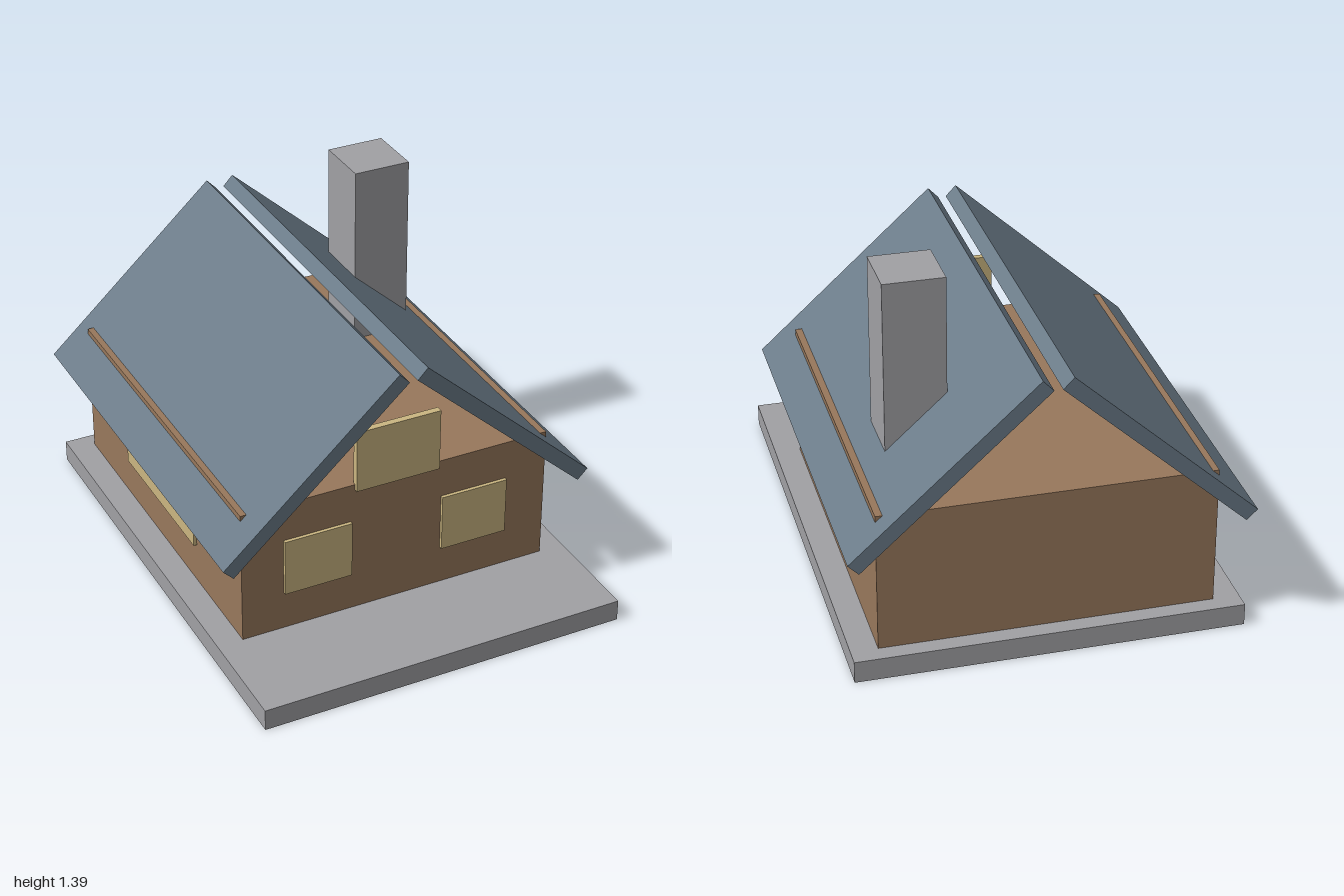
import * as THREE from 'three';

const mat = (name, color) => {
  const m = new THREE.MeshStandardMaterial({ color });
  m.name = name;
  return m;
};

export function createModel() {
  const house = new THREE.Group();
  house.name = 'house';

  const stone = mat('stone grey', 0xa0a0a4);
  const timber = mat('timber brown', 0x98785c);
  const glass = mat('window yellow', 0xcbb681);
  const slate = mat('slate blue', 0x6b7b88);

  // Box given by its extents along each axis
  const box = (name, material, [x0, x1], [y0, y1], [z0, z1]) => {
    const mesh = new THREE.Mesh(new THREE.BoxGeometry(x1 - x0, y1 - y0, z1 - z0), material);
    mesh.position.set((x0 + x1) / 2, (y0 + y1) / 2, (z0 + z1) / 2);
    mesh.name = name;
    house.add(mesh);
  };

  // Base slab, walls and chimney
  box('foundation', stone, [-0.746, 0.744], [0, 0.087], [-0.98, 1]);
  box('walls', timber, [-0.643, 0.641], [0.087, 0.646], [-0.913, 0.583]);
  box('chimney', stone, [0.298, 0.533], [0.6, 1.393], [-0.598, -0.36]);

  // Front windows and the free-standing gable window
  box('frontWindowRight', glass, [-0.471, -0.193], [0.249, 0.485], [0.57, 0.597]);
  box('frontWindowLeft', glass, [0.189, 0.467], [0.249, 0.485], [0.57, 0.597]);
  box('gableWindow', glass, [-0.176, 0.172], [0.622, 0.88], [0.57, 0.597]);

  // Side windows
  box('sideWindowRight', glass, [-0.656, -0.63], [0.255, 0.478], [-0.492, 0.167]);
  box('sideWindowLeft', glass, [0.628, 0.654], [0.255, 0.478], [-0.492, 0.167]);

  // Two sloping roof slabs with an open gap at the ridge
  for (const side of [-1, 1]) {
    const section = [[0.016, 1.11], [0.723, 0.471], [0.764, 0.512], [0.057, 1.153]];
    const shape = new THREE.Shape(section.map(([x, y]) => new THREE.Vector2(side * x - 0.002, y)));
    const geometry = new THREE.ExtrudeGeometry(shape, { depth: 1.7, bevelEnabled: false });
    geometry.translate(0, 0, -1);
    const slab = new THREE.Mesh(geometry, slate);
    slab.name = side < 0 ? 'roofRight' : 'roofLeft';
    house.add(slab);
  }

  return house;
}
